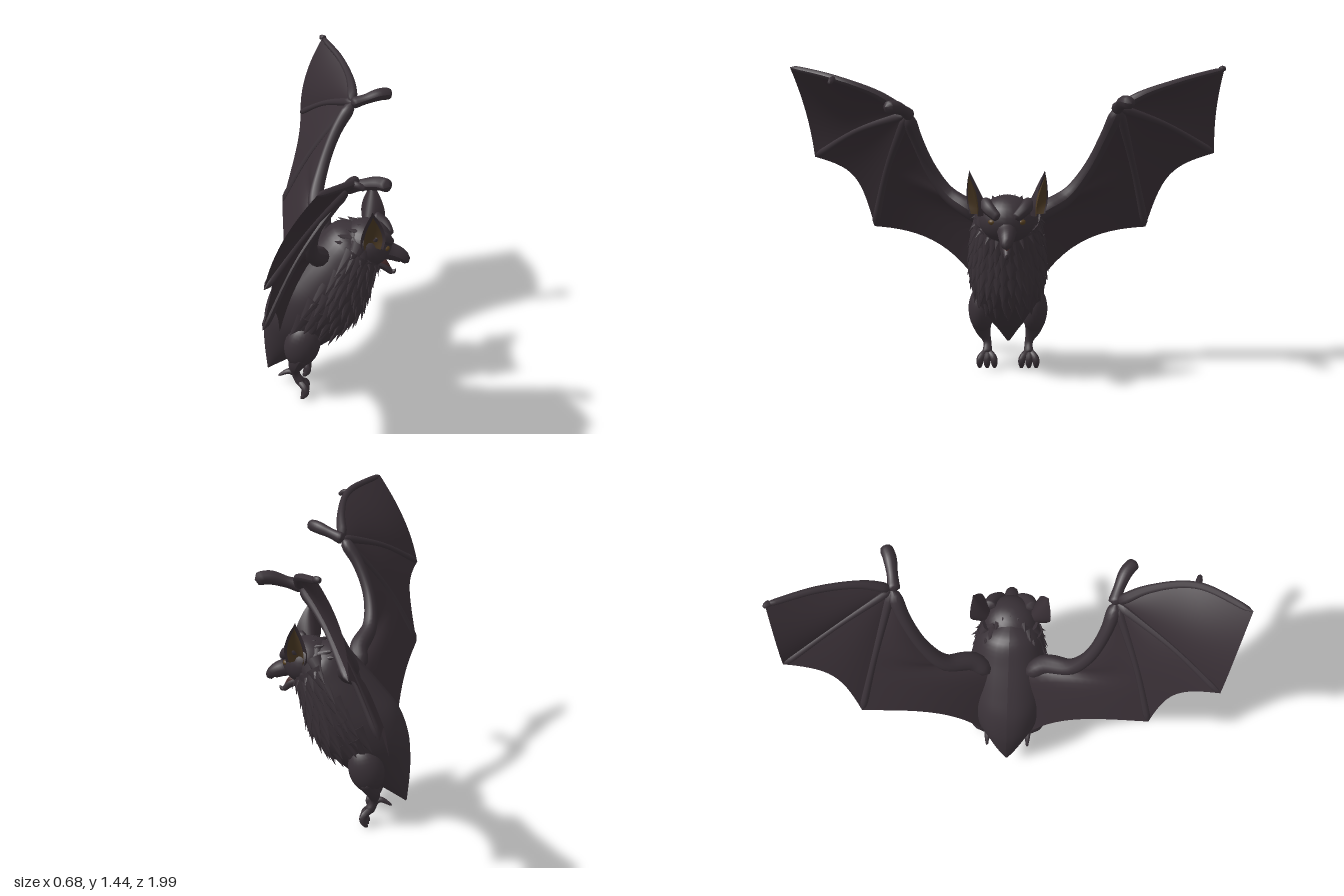
import * as THREE from 'three';
import { mergeGeometries } from 'three/addons/utils/BufferGeometryUtils.js';

const V = (p) => new THREE.Vector3(...p);
const curveOf = (pts) => new THREE.CatmullRomCurve3(pts.map(V), false, 'centripetal');

// Samples a list of numbers smoothly, t from 0 to 1
function sample(list, t) {
  const f = Math.min(Math.max(t, 0), 1) * (list.length - 1);
  const i = Math.min(Math.floor(f), list.length - 2);
  const at = (k) => list[Math.min(Math.max(k, 0), list.length - 1)];
  const s = f - i, a = at(i - 1), b = at(i), c = at(i + 1), d = at(i + 2);
  return b + 0.5 * s * (c - a + s * (2 * a - 5 * b + 4 * c - d + s * (3 * (b - c) + d - a)));
}

// Grid surface from a function of u, v
function surface(fn, nu, nv) {
  const g = new THREE.PlaneGeometry(1, 1, nu, nv);
  const pos = g.attributes.position, uv = g.attributes.uv;
  for (let i = 0; i < pos.count; i++) {
    const p = fn(uv.getX(i), 1 - uv.getY(i));
    pos.setXYZ(i, p.x, p.y, p.z);
  }
  g.computeVertexNormals();
  return g;
}

// Round limb along a path, with varying radius and rounded ends
function limb(pts, radii, sides = 10, n = 18) {
  const curve = curveOf(pts);
  const g = new THREE.TubeGeometry(curve, n, 1, sides);
  const pos = g.attributes.position, p = new THREE.Vector3();
  for (let i = 0; i <= n; i++) {
    const t = i / n, c = curve.getPointAt(t);
    const e = Math.min(1, Math.min(t, 1 - t) / 0.1);
    const r = Math.max(0.0005, sample(radii, t) * Math.sqrt(1 - (1 - e) * (1 - e)));
    for (let j = 0; j <= sides; j++) {
      const k = i * (sides + 1) + j;
      p.fromBufferAttribute(pos, k).sub(c).multiplyScalar(r).add(c);
      pos.setXYZ(k, p.x, p.y, p.z);
    }
  }
  g.computeVertexNormals();
  return g;
}

// Body outline: back x, back y, belly x, belly y, half width
const stations = [
  [0.08, 0.87, 0.14, 0.85, 0.03], [-0.01, 0.86, 0.2, 0.7, 0.135], [-0.1, 0.77, 0.18, 0.6, 0.165],
  [-0.2, 0.66, 0.155, 0.5, 0.178], [-0.28, 0.56, 0.115, 0.405, 0.178], [-0.325, 0.44, 0.03, 0.315, 0.155],
  [-0.338, 0.33, -0.08, 0.23, 0.105], [-0.336, 0.22, -0.2, 0.17, 0.058], [-0.325, 0.1, -0.318, 0.1, 0.006],
];
const columns = [0, 1, 2, 3, 4].map((k) => stations.map((s) => s[k]));
function bodyPoint(a, t) {
  const [bx, by, fx, fy, w] = columns.map((c) => sample(c, t));
  const m = (1 + Math.cos(a)) / 2;
  return new THREE.Vector3(bx + (fx - bx) * m, by + (fy - by) * m, -w * Math.sin(a));
}

// Broad overlapping fur tufts that point down the body
function furTufts() {
  let seed = 7;
  const rnd = () => (seed = (seed * 16807) % 2147483647) / 2147483647;
  const list = [], up = new THREE.Vector3(0, 1, 0);
  for (let row = 0; row < 11; row++) {
    for (let i = 0; i < 10; i++) {
      const t = 0.1 + row * 0.049 + rnd() * 0.02;
      const a = ((i + (row % 2) / 2) / 9 - 0.53) * 3.3 + (rnd() - 0.5) * 0.12;
      const p = bodyPoint(a, t);
      const down = bodyPoint(a, t + 0.02).sub(p).normalize();
      const side = bodyPoint(a + 0.02, t).sub(p).normalize();
      const out = new THREE.Vector3().crossVectors(down, side).normalize();
      const dir = down.clone().addScaledVector(out, 0.2 + 0.25 * Math.max(0, Math.cos(a)) * row / 10).normalize();
      const g = new THREE.ConeGeometry(0.042, 0.12 + rnd() * 0.035, 8);
      g.scale(1, 1, 0.5);
      const x = new THREE.Vector3().crossVectors(dir, out).normalize();
      const z = new THREE.Vector3().crossVectors(x, dir);
      g.applyMatrix4(new THREE.Matrix4().makeBasis(x, dir, z).setPosition(p.addScaledVector(out, -0.006)));
      list.push(g);
    }
  }
  // Short ruff on the crown
  for (let i = 0; i < 9; i++) {
    const a = (i / 8 - 0.5) * 2.2;
    const g = new THREE.ConeGeometry(0.026, 0.075, 6);
    g.applyQuaternion(new THREE.Quaternion().setFromUnitVectors(up, new THREE.Vector3(-0.9, 0.45, Math.sin(a) * 0.4).normalize()));
    g.translate(0.09 + 0.06 * Math.cos(3 * a), 0.775 + 0.095 * Math.cos(a), 0.115 * Math.sin(a));
    list.push(g);
  }
  return mergeGeometries(list);
}

// The two wings are posed a little differently
const wings = {
  leftWing: {
    lead: [[0.06, 1.24, 0.45], [0.09, 1.33, 0.58], [0.085, 1.4, 0.77], [-0.04, 1.445, 0.99]],
    middle: [[0.06, 1.24, 0.45], [-0.1, 1.15, 0.7], [-0.25, 1.015, 0.92]],
    rear: [[0.06, 1.24, 0.45], [-0.14, 0.97, 0.565], [-0.285, 0.675, 0.645]],
    arm: [[-0.1, 0.72, 0.08], [-0.065, 0.78, 0.16], [-0.1, 0.86, 0.28], [-0.085, 0.98, 0.36], [-0.02, 1.13, 0.42], [0.06, 1.24, 0.45]],
    thumb: [[0.05, 1.235, 0.44], [0.12, 1.26, 0.46], [0.19, 1.28, 0.49], [0.235, 1.283, 0.53]],
    hip: [-0.255, 0.37, 0.125], spur: [[0.08, 1.4, 0.77], [0.11, 1.395, 0.78], [0.137, 1.38, 0.785]],
  },
  rightWing: {
    lead: [[0.07, 1.27, -0.5], [0.06, 1.33, -0.61], [0.01, 1.385, -0.78], [-0.09, 1.435, -0.99]],
    middle: [[0.07, 1.27, -0.5], [-0.07, 1.18, -0.73], [-0.205, 1.04, -0.97]],
    rear: [[0.07, 1.27, -0.5], [-0.13, 0.98, -0.585], [-0.285, 0.675, -0.66]],
    arm: [[-0.1, 0.72, -0.08], [-0.065, 0.78, -0.16], [-0.1, 0.85, -0.28], [-0.075, 0.97, -0.37], [-0.01, 1.14, -0.45], [0.07, 1.27, -0.5]],
    thumb: [[0.06, 1.265, -0.49], [0.13, 1.285, -0.5], [0.2, 1.305, -0.515], [0.255, 1.3, -0.54]],
    hip: [-0.255, 0.37, -0.125], spur: [[-0.08, 1.435, -0.97], [-0.09, 1.438, -0.983], [-0.105, 1.435, -0.99]],
  },
};

export function createModel() {
  const mat = (name, color, side = THREE.FrontSide) => {
    const m = new THREE.MeshStandardMaterial({ color, side });
    m.name = name;
    return m;
  };
  const fur = mat('dark fur', 0x393137);
  const skin = mat('wing skin', 0x372e34, THREE.DoubleSide);
  const earInside = mat('ear inside', 0x483722, THREE.DoubleSide);
  const amber = mat('amber eye', 0x553f20);
  const mouth = mat('mouth flesh', 0x462b2b);

  const model = new THREE.Group();
  model.name = 'bat';
  const add = (parent, name, geometry, material) => {
    const mesh = new THREE.Mesh(geometry, material);
    mesh.name = name;
    parent.add(mesh);
    return mesh;
  };
  const ball = (parent, name, p, r, material) => {
    const m = add(parent, name, new THREE.SphereGeometry(1, 24, 16), material);
    m.position.set(...p);
    m.scale.set(...r);
    return m;
  };

  // Body with pointed tail, and fur
  add(model, 'body', surface((u, v) => bodyPoint(2 * Math.PI * u + Math.PI, v), 32, 40), fur);
  add(model, 'furTufts', furTufts(), fur);

  // Head with blunt hooked snout and open jaw
  const head = new THREE.Group();
  head.name = 'head';
  model.add(head);
  ball(head, 'skull', [0.14, 0.775, 0], [0.122, 0.112, 0.125], fur);
  add(head, 'snout', limb([[0.16, 0.78, 0], [0.23, 0.74, 0], [0.285, 0.718, 0], [0.318, 0.695, 0], [0.318, 0.668, 0]], [0.08, 0.06, 0.042, 0.034, 0.02]), fur);
  add(head, 'lowerJaw', limb([[0.13, 0.69, 0], [0.22, 0.66, 0], [0.265, 0.622, 0], [0.28, 0.64, 0]], [0.06, 0.03, 0.018, 0.007]), fur);
  add(head, 'tongue', limb([[0.18, 0.685, 0], [0.22, 0.673, 0], [0.25, 0.645, 0]], [0.025, 0.019, 0.01]), mouth);

  for (const s of [1, -1]) {
    const side = s > 0 ? 'left' : 'right';
    ball(head, side + 'Eye', [0.23, 0.778, s * 0.064], [0.019, 0.014, 0.019], amber);
    add(head, side + 'Brow', limb([[0.17, 0.86, s * 0.1], [0.22, 0.835, s * 0.08], [0.255, 0.795, s * 0.035]], [0.03, 0.028, 0.02]), fur);

    // Cupped pointed ear, open mostly outward
    const base = V([0.16, 0.8, s * 0.12]), tip = V([0.168, 1.0, s * 0.168]);
    const across = V([0.9, 0, -0.44 * s]);
    const open = V([0.44, 0, 0.9 * s]);
    const ear = (width, cup, lift, height) => surface((u, v) => {
      const a = (u - 0.5) * 2, w = width * sample([0.8, 1, 0.86, 0.5, 0.02], v);
      return base.clone().lerp(tip, v * height).addScaledVector(across, a * w)
        .addScaledVector(open, (a * a - 0.6) * cup * (1 - v) + lift);
    }, 12, 14);
    add(head, side + 'Ear', ear(0.062, 0.08, 0, 1), skin);
    add(head, side + 'EarInside', ear(0.047, 0.05, 0.009, 0.88), earInside);

    // Leg, thigh to clawed toes
    const leg = new THREE.Group();
    leg.name = side + 'Leg';
    model.add(leg);
    const thigh = ball(leg, 'thigh', [-0.15, 0.3, s * 0.125], [0.083, 0.115, 0.063], fur);
    thigh.rotation.z = -0.25;
    add(leg, 'shin', limb([[-0.15, 0.26, s * 0.13], [-0.18, 0.19, s * 0.12], [-0.185, 0.13, s * 0.1], [-0.155, 0.07, s * 0.1]], [0.055, 0.04, 0.02, 0.026]), fur);
    for (const dz of [-0.035, 0, 0.035])
      add(leg, 'toe', limb([[-0.172, 0.09, s * 0.1], [-0.138, 0.06, s * 0.1 + dz * 0.9], [-0.138, 0.035, s * 0.1 + dz], [-0.16, 0.008, s * 0.1 + dz]], [0.016, 0.017, 0.016, 0.009], 8, 12), fur);
    add(leg, 'backToe', limb([[-0.18, 0.125, s * 0.1], [-0.215, 0.14, s * 0.1], [-0.268, 0.115, s * 0.1]], [0.018, 0.013, 0.006], 8, 12), fur);
  }

  // Wings: bones, then skin stretched between neighbouring bones
  const panels = [[0.02, 0.035], [0.17, 0.018], [0.11, 0.035]]; // scallop depth, backward bow
  for (const [name, w] of Object.entries(wings)) {
    const wing = new THREE.Group();
    wing.name = name;
    model.add(wing);
    add(wing, 'arm', limb(w.arm, [0.04, 0.044, 0.034, 0.028, 0.028, 0.034], 12, 28), fur);
    add(wing, 'thumb', limb(w.thumb, [0.03, 0.024, 0.029, 0.028]), fur);
    add(wing, 'leadingFinger', limb(w.lead, [0.026, 0.018, 0.016, 0.014], 8, 24), fur);
    add(wing, 'middleFinger', limb(w.middle, [0.022, 0.014, 0.018], 8, 24), fur);
    add(wing, 'rearFinger', limb(w.rear, [0.022, 0.015, 0.019], 8, 24), fur);
    add(wing, 'fingerClaw', limb(w.spur, [0.014, 0.014, 0.01], 8, 10), fur);
    const root = [...w.arm].reverse().concat([w.hip]);
    const bones = [w.lead, w.middle, w.rear, root].map(curveOf);
    panels.forEach(([scallop, depth], i) => {
      const skinPanel = surface((u, v) => {
        const bow = 4 * u * (1 - u);
        const t = v * (1 - scallop * bow);
        const p = bones[i].getPointAt(t).lerp(bones[i + 1].getPointAt(t), u);
        p.x -= depth * bow * Math.sin(Math.PI * v / 2);
        return p;
      }, 14, 24);
      add(wing, 'wingSkin', skinPanel, skin);
    });
  }
  return model;
}
